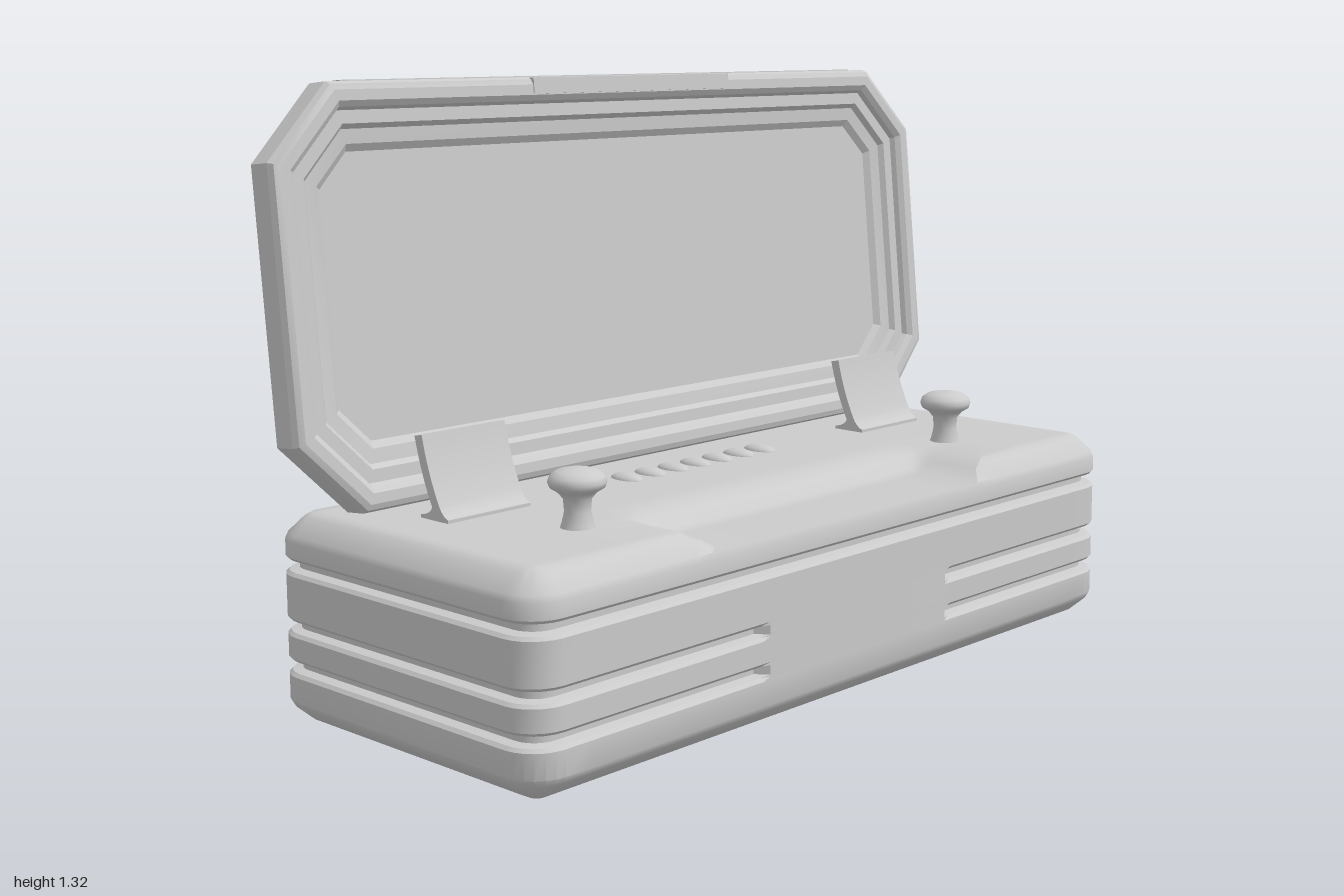
import * as THREE from 'three';
import { toCreasedNormals } from 'three/addons/utils/BufferGeometryUtils.js';

const material = new THREE.MeshStandardMaterial({ color: 0xcccccc, roughness: 0.8 });

function addMesh(parent, name, geometry, x = 0, y = 0, z = 0) {
  const mesh = new THREE.Mesh(geometry, material);
  mesh.name = name;
  mesh.position.set(x, y, z);
  parent.add(mesh);
  return mesh;
}

// Skin a list of equal-length closed rings and close both ends with a fan
function loft(rings, crease = 0.5) {
  const n = rings[0].length, pos = [], index = [];
  rings.forEach(ring => ring.forEach(p => pos.push(...p)));
  for (let k = 0; k < rings.length - 1; k++) {
    for (let i = 0; i < n; i++) {
      const a = k * n + i, b = k * n + (i + 1) % n;
      index.push(a, b, b + n, a, b + n, a + n);
    }
  }
  [0, rings.length - 1].forEach(k => {
    const mid = [0, 1, 2].map(c => rings[k].reduce((s, p) => s + p[c], 0) / n);
    const centre = pos.length / 3;
    pos.push(...mid);
    for (let i = 0; i < n; i++) {
      const a = k * n + i, b = k * n + (i + 1) % n;
      if (k === 0) index.push(b, a, centre);
      else index.push(a, b, centre);
    }
  });
  const g = new THREE.BufferGeometry();
  g.setAttribute('position', new THREE.Float32BufferAttribute(pos, 3));
  g.setIndex(index);
  return toCreasedNormals(g, crease);
}

const HX = 0.4, HZ = 0.945, R = 0.08, TOP = 0.445;
const smooth = THREE.MathUtils.smoothstep;

// Rounded rectangle inset by d; partial grooves skip the middle of the +x face
function bodyRing(y, d, partial) {
  const ring = [];
  const half = [0.8, 0.65, 0.5, 0.46, 0.42, 0.315, 0.295, 0.15];
  const zs = [...half, 0, ...half.map(z => -z).reverse()];
  const put = (x, z) => {
    // Sunken bay along the front edge of the deck
    const bay = smooth(x, 0.15, 0.22) * THREE.MathUtils.clamp((0.5 - Math.abs(z)) / 0.08, 0, 1);
    ring.push([x, Math.min(y, TOP - 0.04 * bay), z]);
  };
  const r = Math.max(R - d, 0), cx = Math.max(HX - d - r, 0), cz = HZ - d - r;
  const corner = (sx, sz, start) => {
    for (let i = 0; i <= 6; i++) {
      const a = start + (i / 6) * Math.PI / 2;
      put(sx * cx + r * Math.cos(a), sz * cz - r * Math.sin(a));
    }
  };
  zs.forEach(z => {
    const inset = partial && Math.abs(z) < 0.3 ? 0 : d;
    put(HX - inset, THREE.MathUtils.clamp(z, -cz, cz));
  });
  corner(1, -1, 0);
  corner(-1, -1, Math.PI / 2);
  [...zs].reverse().forEach(z => put(-(HX - d), THREE.MathUtils.clamp(z, -cz, cz)));
  corner(-1, 1, Math.PI);
  corner(1, 1, Math.PI * 1.5);
  return ring;
}

function bodyGeometry() {
  const rings = [bodyRing(0, 0.4), bodyRing(0, 0.06), bodyRing(0.008, 0.045), bodyRing(0.04, 0.008), bodyRing(0.055, 0)];
  [[0.127, true], [0.212, true], [0.34, false]].forEach(([y, partial]) => {
    [[-0.019, 0], [-0.012, 0.007], [-0.008, 0.028], [0.008, 0.028], [0.012, 0.007], [0.019, 0]]
      .forEach(([dy, d]) => rings.push(bodyRing(y + dy, d, partial)));
  });
  rings.push(bodyRing(0.392, 0), bodyRing(0.405, 0.006), bodyRing(0.437, 0.04));
  [0.055, 0.08, 0.12, 0.16, 0.18, 0.195, 0.21, 0.225, 0.25, 0.32, 0.4]
    .forEach(d => rings.push(bodyRing(TOP, d)));
  return loft(rings);
}

// Octagon in the y-z plane, inset by d, at height w above the lid's back
function lidRing(d, w) {
  const h = 0.435 - d, b = 1 - d, c = 0.155 - 0.586 * d, y0 = 0.435;
  return [
    [-(b - c), h], [b - c, h], [b, h - c], [b, -h + c],
    [b - c, -h], [-(b - c), -h], [-b, -h + c], [-b, h - c],
  ].map(([z, y]) => [w, y + y0, z]);
}

function lidGeometry() {
  return loft([
    [0.008, 0], [0, 0.008], [0, 0.06], [0.006, 0.074], [0.018, 0.08], [0.04, 0.08],
    [0.052, 0.07], [0.058, 0.058], [0.085, 0.058], [0.095, 0.046], [0.125, 0.042], [0.14, 0.03],
  ].map(([d, w]) => lidRing(d, w)), 0.4);
}

// Thin leaning leaf with a flared foot, extruded along z
function clipGeometry(width) {
  const s = new THREE.Shape();
  s.moveTo(-0.13, 0.44);
  s.lineTo(-0.13, 0.452);
  s.quadraticCurveTo(-0.1, 0.456, -0.094, 0.472);
  s.quadraticCurveTo(-0.125, 0.53, -0.145, 0.612);
  s.lineTo(-0.122, 0.616);
  s.quadraticCurveTo(-0.105, 0.54, -0.072, 0.476);
  s.quadraticCurveTo(-0.06, 0.456, -0.045, 0.452);
  s.lineTo(-0.045, 0.44);
  const g = new THREE.ExtrudeGeometry(s, { depth: width, bevelEnabled: false, curveSegments: 8 });
  g.translate(0, 0, -width / 2);
  return toCreasedNormals(g, 0.6);
}

function knobGeometry() {
  const points = [
    [0.036, 0], [0.032, 0.012], [0.027, 0.035], [0.029, 0.06], [0.04, 0.074], [0.056, 0.084],
    [0.06, 0.095], [0.056, 0.107], [0.042, 0.117], [0.02, 0.122], [0, 0.123],
  ].map(p => new THREE.Vector2(...p));
  return new THREE.LatheGeometry(points, 28);
}

export function createModel() {
  const model = new THREE.Group();
  model.name = 'openCase';

  addMesh(model, 'body', bodyGeometry());

  // Tilted lid with its edge strip and latch lip
  const lid = new THREE.Group();
  lid.name = 'lid';
  lid.position.set(-0.275, 0.447, 0);
  lid.rotation.z = 0.097;
  model.add(lid);
  addMesh(lid, 'lidPanel', lidGeometry());
  addMesh(lid, 'lidEdgeStrip', new THREE.BoxGeometry(0.028, 0.008, 1.6), 0.035, 0.869);
  addMesh(lid, 'latchLip', new THREE.BoxGeometry(0.022, 0.035, 0.62), 0.072, 0.85);

  // Paired knobs and clips
  [-1, 1].forEach(side => {
    addMesh(model, side > 0 ? 'frontKnob' : 'rearKnob', knobGeometry(), 0.162, 0.443, side * 0.605);
    addMesh(model, side > 0 ? 'frontClip' : 'rearClip', clipGeometry(0.22), 0, 0, side * 0.655);
  });

  // Row of low ridges on the deck
  const ridges = new THREE.Group();
  ridges.name = 'deckRidges';
  model.add(ridges);
  for (let i = -3; i <= 3; i++) {
    const ridge = addMesh(ridges, 'ridge', new THREE.SphereGeometry(1, 16, 10), -0.09, TOP - 0.002, i * 0.073);
    ridge.scale.set(0.045, 0.015, 0.026);
  }
  return model;
}
